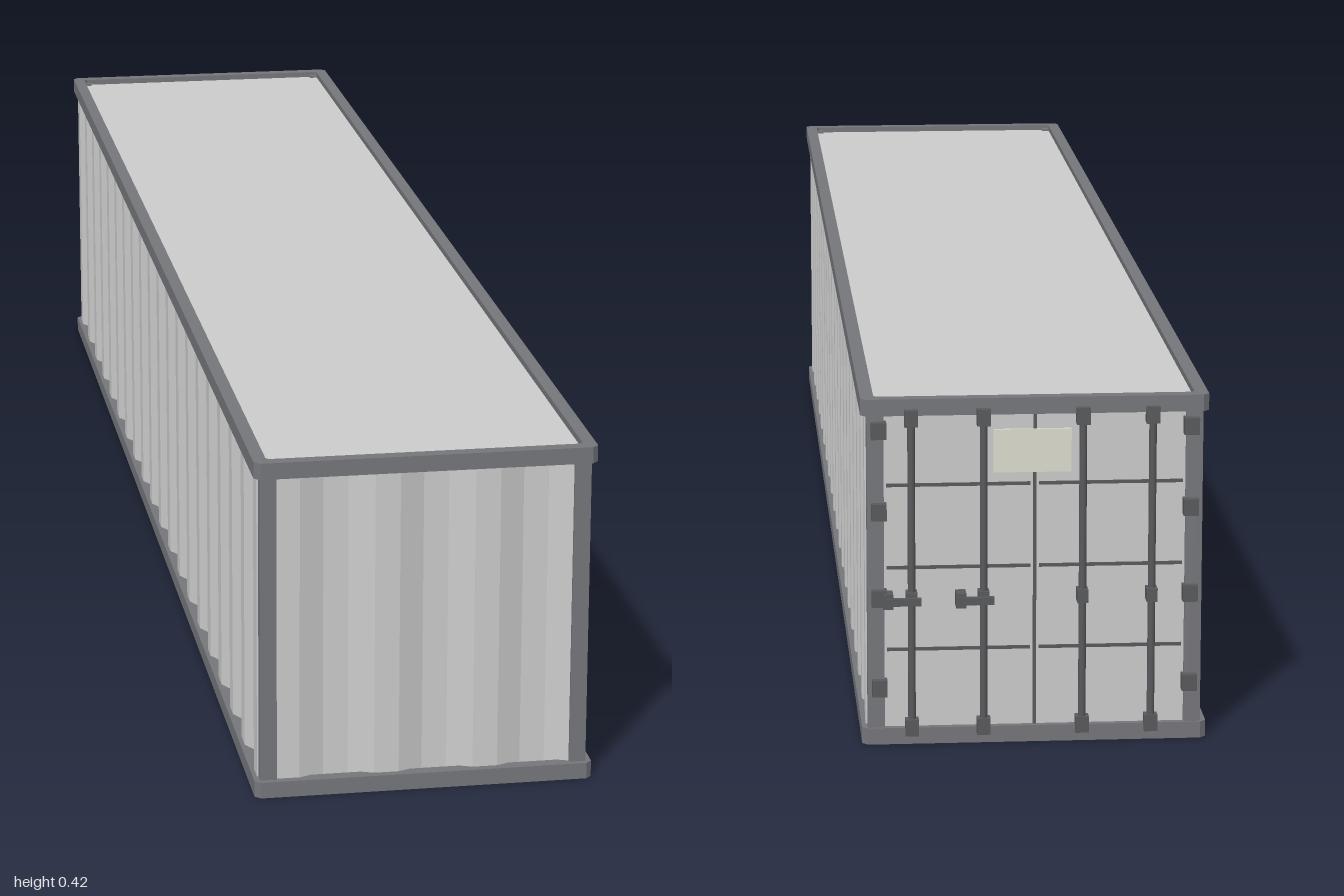
import * as THREE from 'three';

const grey = new THREE.MeshStandardMaterial({ color: 0xcccccc });
const frameMat = new THREE.MeshStandardMaterial({ color: 0x75767a });
const darkMat = new THREE.MeshStandardMaterial({ color: 0x58595c });
const plateMat = new THREE.MeshStandardMaterial({ color: 0xdcdccf });

const FRONT = 1, BACK = -0.985, HALF = 0.205, HEIGHT = 0.42, RAIL = 0.02;
const MID = (FRONT + BACK) / 2, LEN = FRONT - BACK;

export function createModel() {
  const model = new THREE.Group();

  function add(name, geometry, material, x = 0, y = 0, z = 0, parent = model) {
    const mesh = new THREE.Mesh(geometry, material);
    mesh.name = name;
    mesh.position.set(x, y, z);
    parent.add(mesh);
    return mesh;
  }
  const box = (name, w, h, d, mat, x, y, z, parent) =>
    add(name, new THREE.BoxGeometry(w, h, d), mat, x, y, z, parent);

  // Rectangle with clipped corners
  function clipped(Type, hw, hl, c) {
    return new Type([
      [hw - c, -hl], [hw, -hl + c], [hw, hl - c], [hw - c, hl],
      [-hw + c, hl], [-hw, hl - c], [-hw, -hl + c], [-hw + c, -hl],
    ].map(([x, y]) => new THREE.Vector2(x, y)));
  }

  // Vertical extrusion of a plan outline
  function raise(shape, height) {
    return new THREE.ExtrudeGeometry(shape, { depth: height, bevelEnabled: false })
      .rotateX(-Math.PI / 2);
  }

  // Corrugated sheet: outer flat, slope, inner flat, slope; outer face towards +z
  function corrugated(length, segments, depth, height) {
    const outer = [], inner = [];
    for (let i = 0; i <= segments; i++) {
      const x = -length / 2 + (i * length) / segments;
      const v = i % 4 < 2 ? 0 : depth;
      outer.push(new THREE.Vector2(x, v));
      inner.unshift(new THREE.Vector2(x, v + 0.003));
    }
    return raise(new THREE.Shape([...outer, ...inner]), height);
  }

  // Top and bottom rail rings
  const ring = clipped(THREE.Shape, HALF, LEN / 2, 0.007);
  ring.holes.push(clipped(THREE.Path, HALF - 0.016, LEN / 2 - 0.016, 0.004));
  const ringGeometry = raise(ring, RAIL);
  add('bottomRails', ringGeometry, frameMat, 0, 0, MID);
  add('topRails', ringGeometry, frameMat, 0, HEIGHT - RAIL, MID);

  // Corner posts
  for (const x of [-0.188, 0.188])
    for (const z of [FRONT - 0.017, BACK + 0.013])
      box('cornerPost', 0.02, HEIGHT - 0.01, 0.02, frameMat, x, HEIGHT / 2, z);

  // Roof and floor, slightly sunk inside the rails
  box('roof', 0.384, 0.006, LEN - 0.026, grey, 0, HEIGHT - 0.011, MID);
  box('floor', 0.384, 0.006, LEN - 0.026, grey, 0, 0.011, MID);

  // Corrugated side and front walls
  const wallHeight = HEIGHT - 1.5 * RAIL, wallY = RAIL * 0.75;
  const sideGeometry = corrugated(1.945, 77, 0.014, wallHeight);
  for (const s of [-1, 1])
    add('sideWall', sideGeometry, grey, s * 0.2, wallY, MID).rotation.y = s * Math.PI / 2;
  add('frontWall', corrugated(0.36, 12, 0.012, wallHeight), grey, 0, wallY, 0.99);

  // Rear doors with dark horizontal grooves and centre seal
  const doors = new THREE.Group();
  doors.name = 'rearDoors';
  model.add(doors);
  for (const s of [-1, 1]) {
    box('doorPanel', 0.178, 0.38, 0.008, grey, s * 0.09, 0.21, -0.973, doors);
    for (const y of [0.115, 0.215, 0.315])
      box('doorGroove', 0.17, 0.004, 0.002, darkMat, s * 0.09, y, -0.9775, doors);
    for (const y of [0.07, 0.18, 0.285, 0.383])
      box('hinge', 0.018, 0.02, 0.014, darkMat, s * 0.184, y, -0.984, doors);
  }
  box('centreSeal', 0.004, 0.38, 0.004, darkMat, 0, 0.21, -0.977, doors);
  box('dataPlate', 0.092, 0.052, 0.003, plateMat, 0.003, 0.355, -0.979, doors);

  // Locking bars with end cams, guides and handles
  const barGeometry = new THREE.CylinderGeometry(0.0045, 0.0045, 0.39, 12);
  for (const x of [0.146, 0.061, -0.056, -0.138]) {
    add('lockingBar', barGeometry, darkMat, x, 0.21, -0.987, doors);
    for (const y of [0.022, 0.398])
      box('barCam', 0.016, 0.02, 0.014, darkMat, x, y, -0.987, doors);
    box('barGuide', 0.013, 0.016, 0.018, darkMat, x, 0.18, -0.986, doors);
  }
  for (const x of [0.15, 0.064]) {
    box('handle', 0.042, 0.009, 0.006, darkMat, x + 0.006, 0.178, -0.997, doors);
    box('handleCatch', 0.012, 0.018, 0.02, darkMat, x + 0.024, 0.178, -0.987, doors);
  }
  return model;
}
